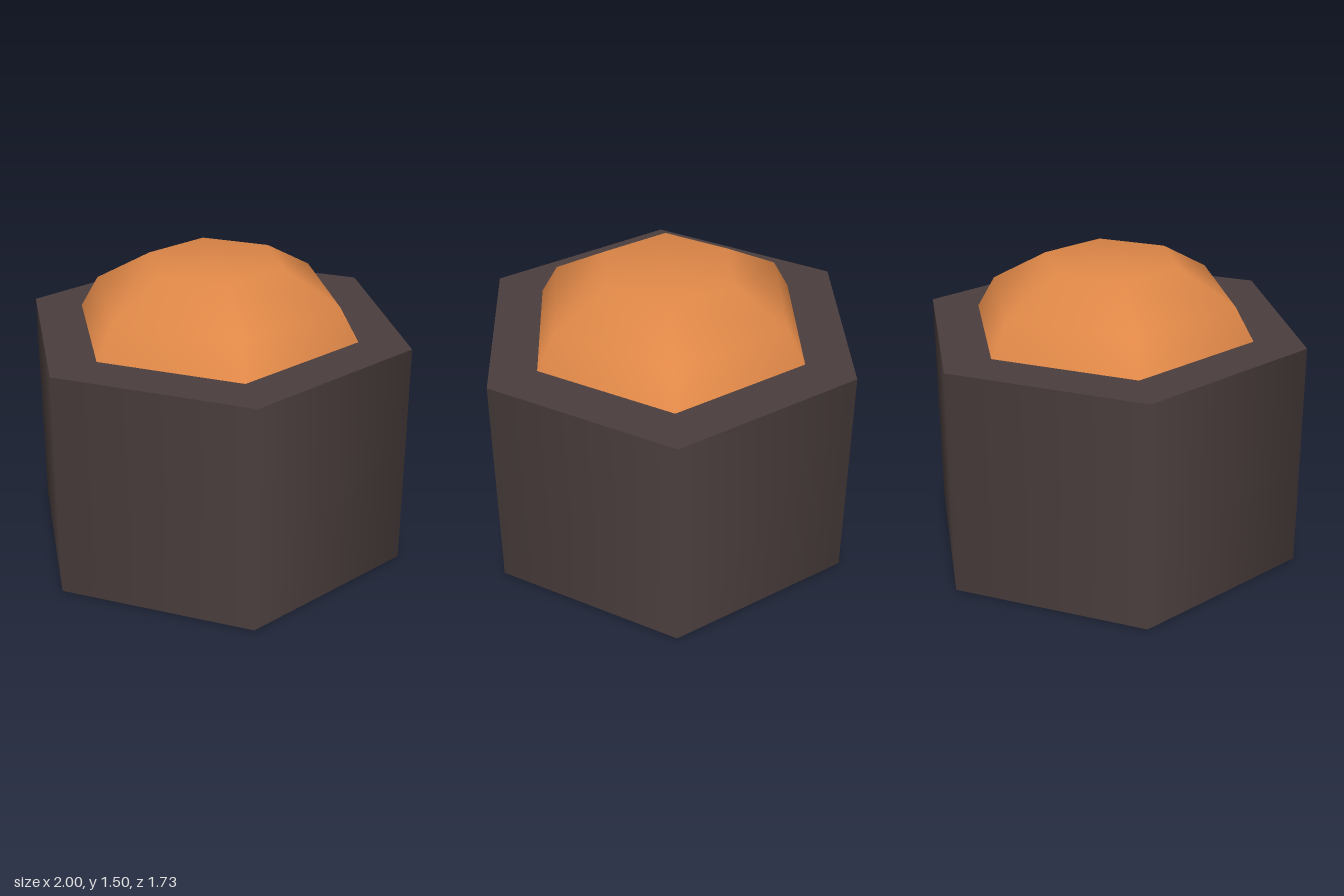
import * as THREE from 'three';

export function createModel() {
  const group = new THREE.Group();
  const darkBrown = new THREE.MeshStandardMaterial({ color: 0x4a3e3d });
  darkBrown.name = 'dark brown';
  const orange = new THREE.MeshStandardMaterial({ color: 0xe08848 });
  orange.name = 'orange';

  const add = (name, geometry, material) => {
    const mesh = new THREE.Mesh(geometry, material);
    mesh.name = name;
    group.add(mesh);
    return mesh;
  };

  // Six-sided base with corners on the x axis and rounded shading on its side
  const height = 1.167;
  add('base', new THREE.CylinderGeometry(1, 1, height, 6, 1, false, Math.PI / 2), darkBrown)
    .position.y = height / 2;

  // Faceted dome with a flat crown, its foot sunk into the base
  const profile = [[0.807, 1.044], [0.64, 1.333], [0.35, 1.5], [0, 1.5]]
    .map(([r, y]) => new THREE.Vector2(r, y));
  add('dome', new THREE.LatheGeometry(profile, 6, Math.PI / 2), orange);

  return group;
}
